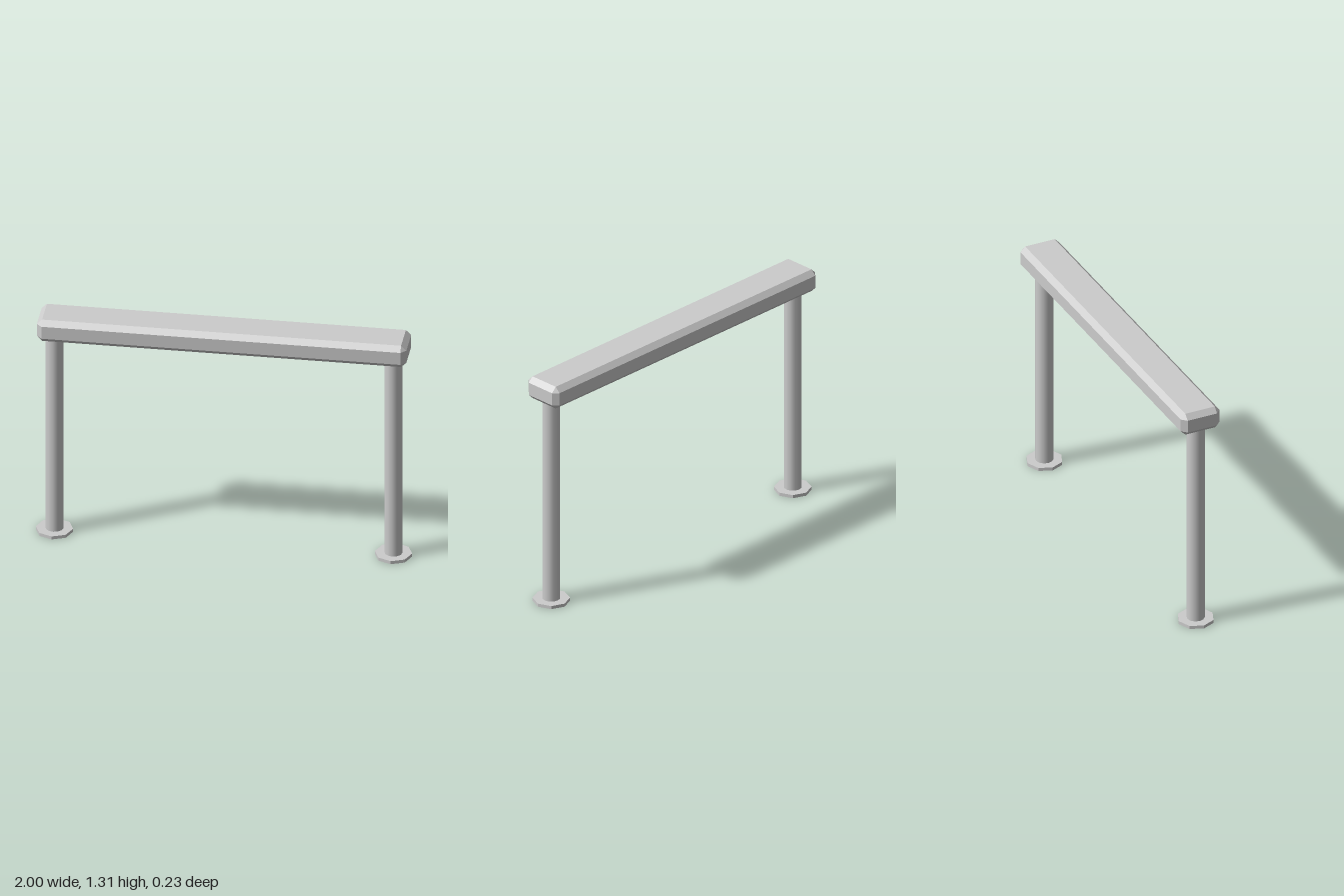
import * as THREE from 'three';
import { ConvexGeometry } from 'three/addons/geometries/ConvexGeometry.js';

// Box with every edge and corner cut by the same amount
function chamferedBox(w, h, d, b) {
  const [x, y, z] = [w / 2, h / 2, d / 2];
  const points = [];
  for (const sx of [-1, 1]) for (const sy of [-1, 1]) for (const sz of [-1, 1]) {
    points.push(
      new THREE.Vector3(sx * x, sy * (y - b), sz * (z - b)),
      new THREE.Vector3(sx * (x - b), sy * y, sz * (z - b)),
      new THREE.Vector3(sx * (x - b), sy * (y - b), sz * z)
    );
  }
  return new ConvexGeometry(points);
}

export function createModel() {
  const model = new THREE.Group();
  model.name = 'barrier';

  const grey = new THREE.MeshStandardMaterial({ color: 0xcccccc });
  grey.name = 'light grey';
  const greyFlat = grey.clone();
  greyFlat.name = 'light grey flat';
  greyFlat.flatShading = true;

  const add = (name, geometry, material, x, y) => {
    const mesh = new THREE.Mesh(geometry, material);
    mesh.name = name;
    mesh.position.set(x, y, 0);
    model.add(mesh);
  };

  // Horizontal beam
  const beamBottom = 1.185, beamHeight = 0.128;
  add('beam', chamferedBox(1.964, beamHeight, 0.228, 0.028), greyFlat, 0, beamBottom + beamHeight / 2);

  // Round posts on octagonal foot plates
  const footHeight = 0.018;
  const postHeight = beamBottom - footHeight + 0.01;
  const post = new THREE.CylinderGeometry(0.048, 0.048, postHeight, 12);
  const foot = new THREE.CylinderGeometry(0.099, 0.099, footHeight, 8);
  for (const [side, s] of [['left', 1], ['right', -1]]) {
    add(side + 'Post', post, grey, s * 0.901, footHeight + postHeight / 2);
    add(side + 'Foot', foot, greyFlat, s * 0.901, footHeight / 2);
  }
  return model;
}
